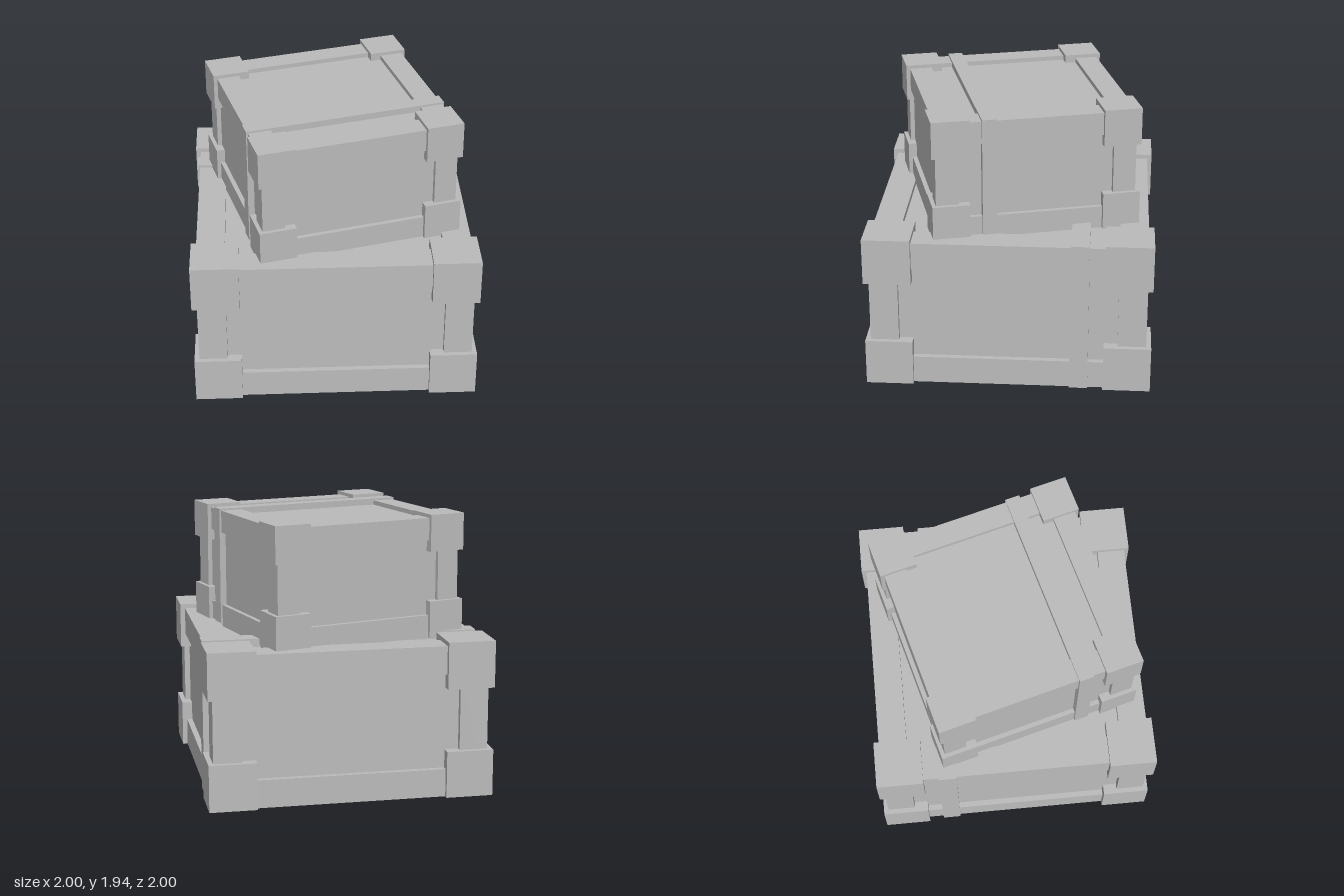
import * as THREE from 'three';

const wood = new THREE.MeshStandardMaterial({ color: 0xbcbcbc, side: THREE.DoubleSide });
wood.name = 'plain grey';

// Face lying in the xy plane, facing +z: a raised frame, its inner ledges and a recessed panel.
// Rectangles are [left, bottom, right, top].
function framedFace(outer, inner, depth) {
  const loop = ([l, b, r, t], z) => [[l, b, z], [r, b, z], [r, t, z], [l, t, z]];
  const loops = [loop(outer, 0), loop(inner, 0), loop(inner, -depth)];
  const pos = [];
  const quad = (a, b, c, d) => pos.push(...a, ...b, ...c, ...a, ...c, ...d);
  for (let k = 0; k < 2; k++) {
    for (let i = 0; i < 4; i++) {
      const j = (i + 1) % 4;
      quad(loops[k][i], loops[k][j], loops[k + 1][j], loops[k + 1][i]);
    }
  }
  quad(...loops[2]);
  const geo = new THREE.BufferGeometry();
  geo.setAttribute('position', new THREE.Float32BufferAttribute(pos, 3));
  geo.computeVertexNormals();
  return geo;
}

// Cube block, optionally without its underside
function block(size, open) {
  const geo = new THREE.BoxGeometry(size, size, size);
  if (open) {
    const index = Array.from(geo.index.array);
    index.splice(18, 6);
    geo.setIndex(index);
    geo.clearGroups();
  }
  return geo;
}

// Open-bottomed crate: half = half width over the corner blocks, height = top of the blocks
function crate(name, { half, height, cube, lip, beam, recess, strapZ, strapWidth }) {
  const group = new THREE.Group();
  group.name = name;
  const add = (geo, label) => {
    const mesh = new THREE.Mesh(geo, wood);
    mesh.name = label;
    group.add(mesh);
    return mesh;
  };
  const w = half - lip;
  const top = height - lip * 0.9;
  const i = w - beam;

  // Four framed walls
  const wallGeo = framedFace([-w, 0, w, top], [-i, beam, i, top - beam], recess);
  wallGeo.translate(0, 0, w);
  for (let k = 0; k < 4; k++) add(wallGeo, 'wall').rotation.y = k * Math.PI / 2;

  // Framed lid
  const lid = framedFace([-w, -w, w, w], [-i, -i, i, i], recess);
  lid.rotateX(-Math.PI / 2);
  add(lid, 'lid').position.y = top;

  // Corner blocks
  const c = half - cube / 2;
  for (const x of [-c, c]) {
    for (const z of [-c, c]) {
      add(block(cube, true), 'lowerCornerBlock').position.set(x, cube / 2, z);
      add(block(cube, false), 'upperCornerBlock').position.set(x, height - cube / 2, z);
    }
  }

  // Strap running up both sides and over the lid
  const s = w + lip * 0.5, y = top + lip * 0.5;
  const si = w - recess, yi = top - recess;
  const shape = new THREE.Shape([
    [-s, 0], [-si, 0], [-si, yi], [si, yi], [si, 0], [s, 0], [s, y], [-s, y],
  ].map(([a, b]) => new THREE.Vector2(a, b)));
  const strap = new THREE.ExtrudeGeometry(shape, { depth: strapWidth, bevelEnabled: false });
  add(strap, 'strap').position.z = strapZ - strapWidth / 2;
  return group;
}

export function createModel() {
  const model = new THREE.Group();
  model.name = 'stackedCrates';

  model.add(crate('lowerCrate', {
    half: 1, height: 1.113, cube: 0.333, lip: 0.035, beam: 0.2,
    recess: 0.04, strapZ: -0.495, strapWidth: 0.13,
  }));

  // Smaller crate, turned on top of the lower one
  const upper = crate('upperCrate', {
    half: 0.73, height: 0.88, cube: 0.263, lip: 0.028, beam: 0.16,
    recess: 0.032, strapZ: 0.328, strapWidth: 0.104,
  });
  upper.position.y = 1.056;
  upper.rotation.y = THREE.MathUtils.degToRad(15);
  model.add(upper);

  return model;
}
